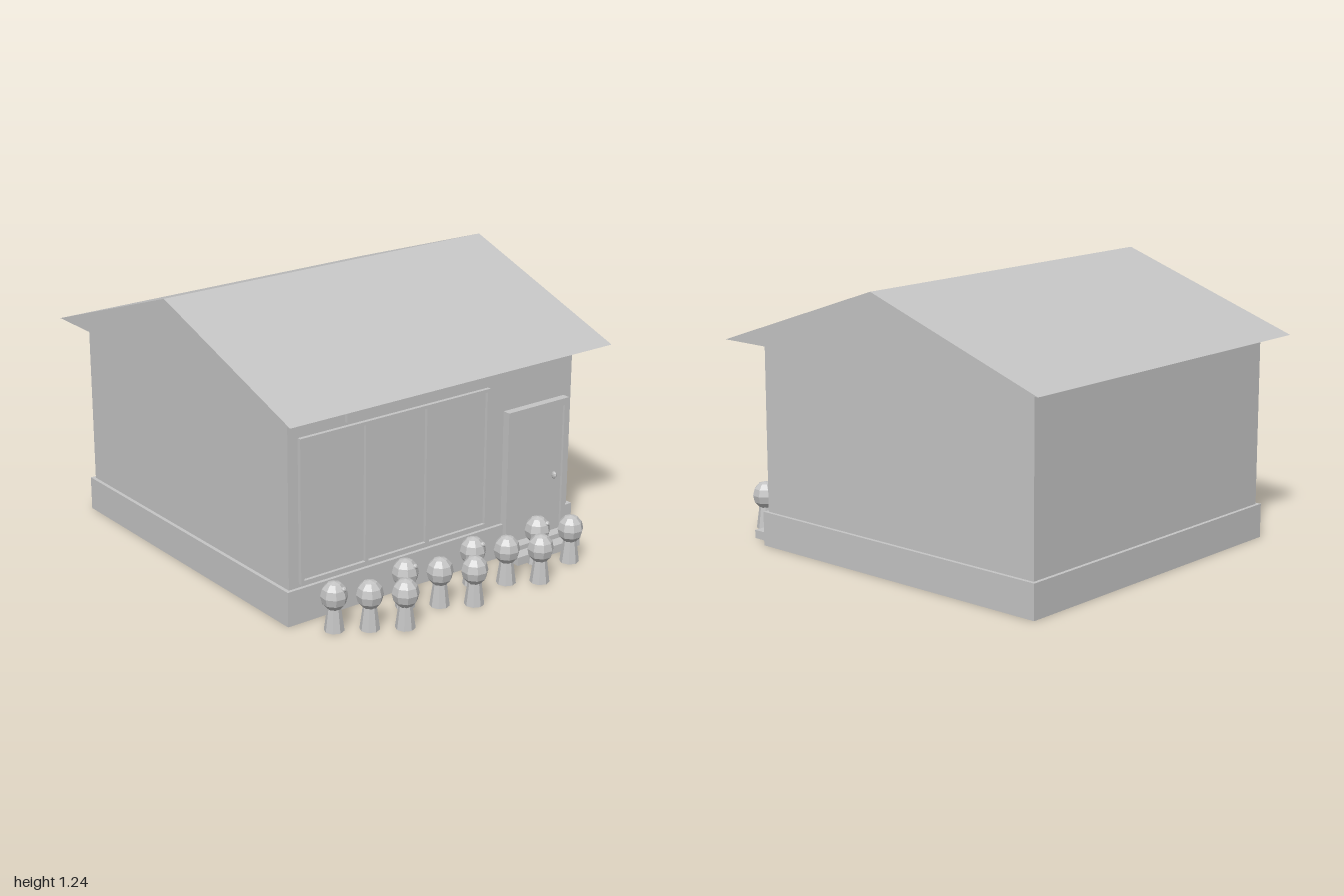
import * as THREE from 'three';

export function createModel() {
  const model = new THREE.Group();
  const grey = new THREE.MeshStandardMaterial({ color: 0xc4c4c4, flatShading: true });
  grey.name = 'plain grey';

  const add = (name, geometry, parent = model) => {
    const mesh = new THREE.Mesh(geometry, grey);
    mesh.name = name;
    parent.add(mesh);
    return mesh;
  };
  // box given by its limits on each axis
  const box = (name, [x0, x1], [y0, y1], [z0, z1], parent) => {
    const mesh = add(name, new THREE.BoxGeometry(x1 - x0, y1 - y0, z1 - z0), parent);
    mesh.position.set((x0 + x1) / 2, (y0 + y1) / 2, (z0 + z1) / 2);
    return mesh;
  };
  // rectangular frame with one or more openings, extruded towards +z
  const frame = (name, [x0, x1], [y0, y1], openings, z, depth) => {
    const rect = (p, a, b, c, d) => p.moveTo(a, c).lineTo(b, c).lineTo(b, d).lineTo(a, d).closePath();
    const shape = rect(new THREE.Shape(), x0, x1, y0, y1);
    for (const [a, b, c, d] of openings) shape.holes.push(rect(new THREE.Path(), a, b, c, d));
    const mesh = add(name, new THREE.ExtrudeGeometry(shape, { depth, bevelEnabled: false }));
    mesh.position.z = z;
  };

  // building body
  box('walls', [-0.77, 0.77], [0.0, 0.93], [-0.905, 0.638]);
  box('plinth', [-0.787, 0.787], [0, 0.155], [-0.922, 0.654]);

  // gabled roof: a triangular prism running along x
  const gable = new THREE.Shape([
    new THREE.Vector2(-0.787, 0.927),
    new THREE.Vector2(1.0, 0.927),
    new THREE.Vector2(0.107, 1.235),
  ]);
  const roof = new THREE.ExtrudeGeometry(gable, { depth: 1.724, bevelEnabled: false });
  roof.translate(0, 0, -0.862).rotateY(Math.PI / 2);
  add('roof', roof);

  // sign board under the eaves
  box('signBoard', [-0.495, 0.55], [0.833, 0.93], [0.654, 0.672]);

  // three-pane shop window
  frame('windowFrame', [-0.72, 0.283], [0.172, 0.81], [
    [-0.703, -0.388, 0.187, 0.796],
    [-0.374, -0.065, 0.187, 0.796],
    [-0.047, 0.268, 0.187, 0.796],
  ], 0.636, 0.02);
  box('windowGlass', [-0.71, 0.275], [0.18, 0.8], [0.634, 0.641]);

  // door with its frame and handle
  frame('doorFrame', [0.377, 0.728], [0, 0.681], [[0.405, 0.704, 0.03, 0.649]], 0.636, 0.039);
  box('door', [0.4, 0.71], [0.02, 0.655], [0.636, 0.663]);
  const handle = add('doorHandle', new THREE.SphereGeometry(1, 8, 6));
  handle.scale.set(0.009, 0.017, 0.014);
  handle.position.set(0.655, 0.329, 0.674);

  // door steps
  box('lowerStep', [0.367, 0.736], [0, 0.038], [0.64, 0.77]);
  box('upperStep', [0.39, 0.714], [0, 0.059], [0.64, 0.713]);

  // rows of small round-headed figures in front
  const bodyGeometry = new THREE.CylinderGeometry(0.028, 0.043, 0.11, 8);
  const headGeometry = new THREE.SphereGeometry(1, 8, 6).scale(0.058, 0.064, 0.058);
  const noseGeometry = new THREE.SphereGeometry(0.012, 6, 5);
  for (let i = 0; i < 11; i++) {
    const figure = new THREE.Group();
    figure.name = 'figure';
    figure.position.set(-0.65 + i * 0.1235, 0, 0.786 + (i % 3) * 0.078);
    model.add(figure);
    add('body', bodyGeometry, figure).position.y = 0.055;
    const head = add('head', headGeometry, figure);
    head.position.y = 0.155;
    head.rotation.y = 0.3;
    if (i % 3 === 0) add('nose', noseGeometry, figure).position.set(0.018, 0.192, 0.042);
  }
  return model;
}
